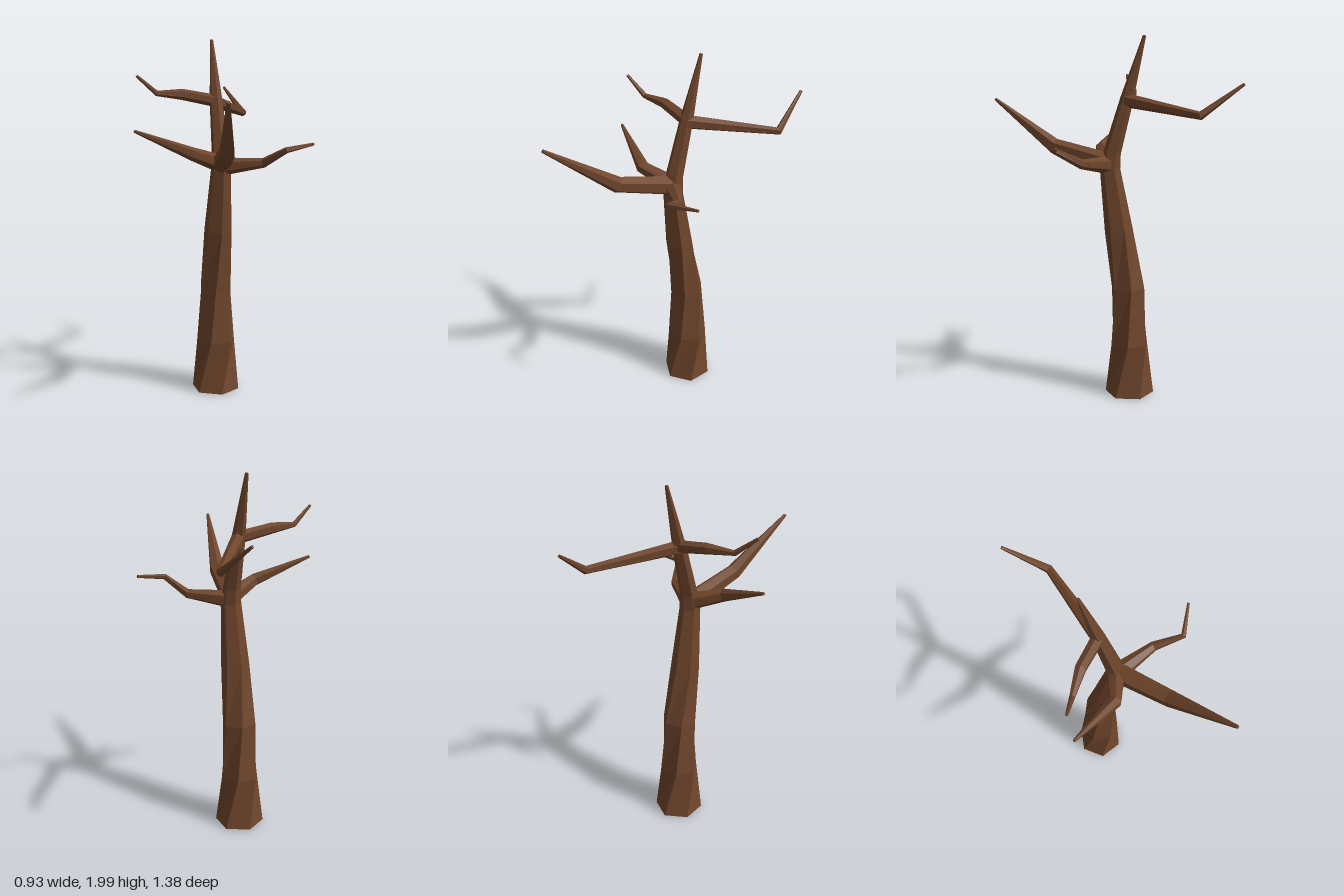
import * as THREE from 'three';

const SIDES = 6;

// Tapered six-sided limb. Each ring is [x, y, z, radius, turn in degrees]; ref sets where corner 0 points.
function limbGeometry(rings, ref) {
  const centres = rings.map(([x, y, z]) => new THREE.Vector3(x, y, z));
  const last = rings.length - 1;

  const loops = rings.map(([, , , radius, turn = 0], k) => {
    // Ring plane halves the bend between the neighbouring segments
    const t = new THREE.Vector3();
    if (k > 0) t.add(centres[k].clone().sub(centres[k - 1]).normalize());
    if (k < last) t.add(centres[k + 1].clone().sub(centres[k]).normalize());
    t.normalize();
    const u = ref.clone().addScaledVector(t, -ref.dot(t)).normalize();
    const v = t.clone().cross(u);
    return Array.from({ length: SIDES }, (_, i) => {
      const a = (i / SIDES) * Math.PI * 2 + THREE.MathUtils.degToRad(turn);
      return centres[k].clone()
        .addScaledVector(u, radius * Math.cos(a))
        .addScaledVector(v, radius * Math.sin(a));
    });
  });

  // Unshared corners keep every facet flat
  const points = [];
  for (let i = 0; i < SIDES; i++) {
    const j = (i + 1) % SIDES;
    for (let k = 0; k < last; k++) {
      const [a, b, c, d] = [loops[k][i], loops[k][j], loops[k + 1][j], loops[k + 1][i]];
      points.push(a, b, c, a, c, d);
    }
    points.push(centres[0], loops[0][j], loops[0][i]);
    points.push(centres[last], loops[last][i], loops[last][j]);
  }
  const geometry = new THREE.BufferGeometry().setFromPoints(points);
  geometry.computeVertexNormals();
  return geometry;
}

export function createModel() {
  const tree = new THREE.Group();
  tree.name = 'bareTree';
  const bark = new THREE.MeshStandardMaterial({ color: 0x6e452b });
  bark.name = 'bark brown';

  const addLimb = (name, rings, ref) => {
    const mesh = new THREE.Mesh(limbGeometry(rings, ref), bark);
    mesh.name = name;
    tree.add(mesh);
  };

  // Trunk leans forward to the fork, then back to a pointed top
  addLimb('trunk', [
    [0.012, 0.01, -0.097, 0.136, 0],
    [0.012, 0.3, -0.095, 0.111, 30],
    [0.01, 0.62, -0.087, 0.096, 45],
    [0.008, 0.95, -0.034, 0.078, 60],
    [0.01, 1.29, 0.014, 0.056, 60],
    [0.01, 1.38, 0.002, 0.048, 60],
    [0.01, 1.67, -0.078, 0.036, 60],
    [0.012, 2.0, -0.17, 0.009, 60],
  ], new THREE.Vector3(0, 0, 1));

  // Branches, from the fork upward
  const up = new THREE.Vector3(0, 1, 0);
  const branches = {
    frontBranch: [
      [0.01, 1.32, 0.01, 0.054], [-0.055, 1.405, 0.33, 0.044], [-0.16, 1.66, 0.683, 0.009],
    ],
    lowerRightBranch: [
      [0.01, 1.325, 0.015, 0.05], [-0.165, 1.385, 0.08, 0.036], [-0.463, 1.507, -0.012, 0.008],
    ],
    lowerLeftBranch: [
      [0.01, 1.31, 0.02, 0.05], [0.21, 1.335, 0.145, 0.026],
      [0.29, 1.41, 0.275, 0.016], [0.46, 1.437, 0.237, 0.008],
    ],
    upperRightBranch: [
      [0.01, 1.665, -0.08, 0.034], [-0.18, 1.7, -0.09, 0.03],
      [-0.325, 1.705, -0.07, 0.015], [-0.438, 1.795, -0.043, 0.008],
    ],
    backBranch: [
      [0.01, 1.66, -0.075, 0.038], [0.298, 1.593, -0.468, 0.022], [0.245, 1.748, -0.683, 0.008],
    ],
  };
  for (const [name, rings] of Object.entries(branches)) addLimb(name, rings, up);

  return tree;
}
